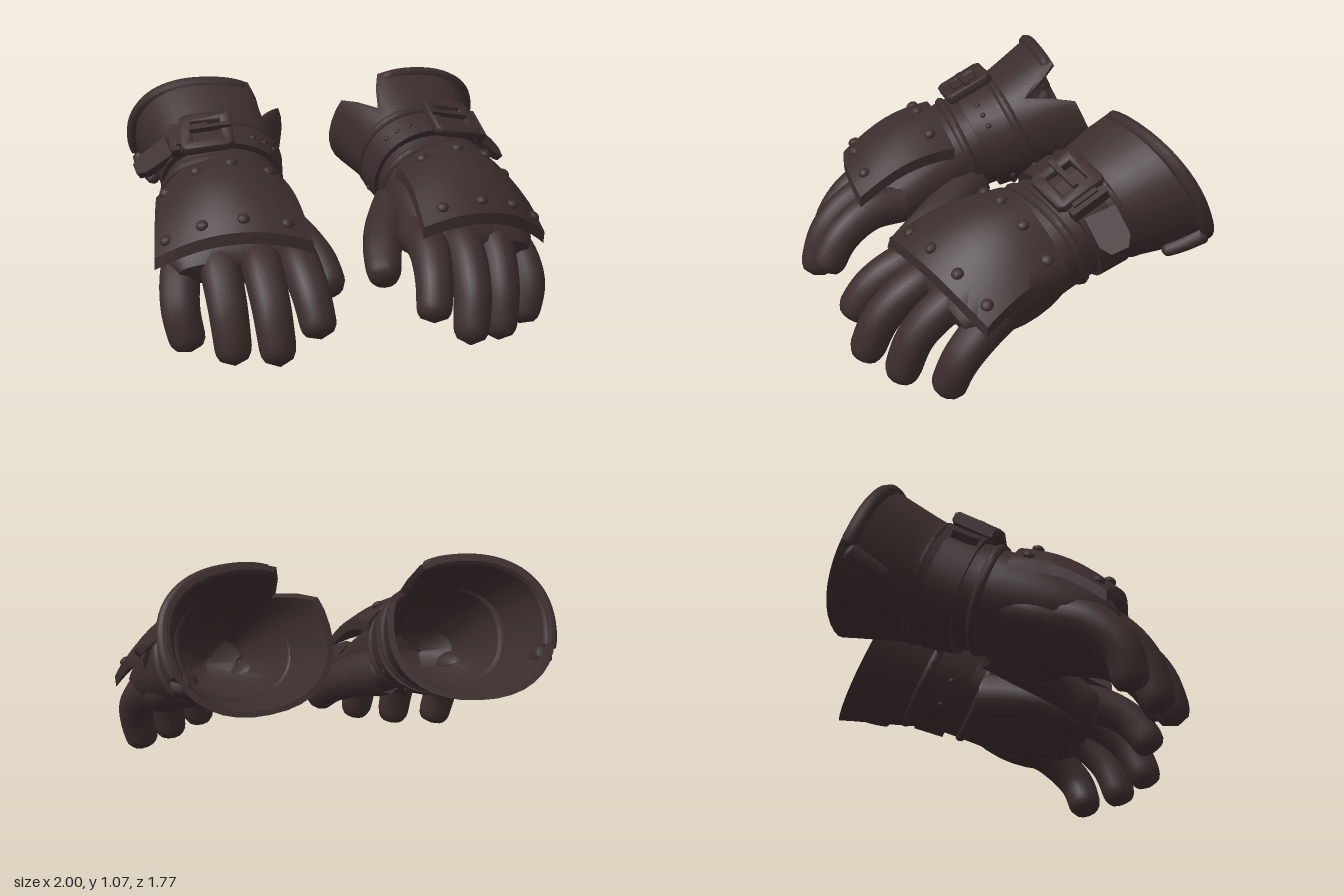
import * as THREE from 'three';
import { mergeVertices, toCreasedNormals } from 'three/addons/utils/BufferGeometryUtils.js';

const leather = new THREE.MeshStandardMaterial({ color: 0x3c2d2d, side: THREE.DoubleSide });
leather.name = 'dark brown leather';

const V = (p) => new THREE.Vector3(...p);
const lerp = THREE.MathUtils.lerp;
const rad = THREE.MathUtils.degToRad;

// Point on a pitched, slightly squared ring: [x, y, z, halfWidth, halfHeight, pitch, notch].
// The notch pulls the ring forward in a narrow V on the thumb side.
function ringPoint([x, y, z, w, h, pitch, notch = 0], a) {
  const sq = (t) => Math.sign(t) * Math.abs(t) ** 0.88;
  const v = h * sq(Math.sin(a)), p = rad(pitch);
  const cut = notch * Math.max(0, 1 - Math.abs(a - rad(40)) / rad(18));
  return [
    x + w * sq(Math.cos(a)) - cut * 0.2,
    y + v * Math.cos(p) - cut * Math.sin(p),
    z + v * Math.sin(p) + cut * Math.cos(p),
  ];
}

// Skin through rings, joined round and along
function loft(rings, n = 36) {
  const pos = [], idx = [];
  rings.forEach((r) => {
    for (let i = 0; i < n; i++) pos.push(...ringPoint(r, (i / n) * Math.PI * 2));
  });
  for (let j = 0; j < rings.length - 1; j++) {
    for (let i = 0; i < n; i++) {
      const a = j * n + i, b = j * n + ((i + 1) % n);
      idx.push(a, b, b + n, a, b + n, a + n);
    }
  }
  const g = new THREE.BufferGeometry();
  g.setAttribute('position', new THREE.Float32BufferAttribute(pos, 3));
  g.setIndex(idx);
  return g;
}

// Tapered tube with a blunt rounded tip (and optionally a rounded start)
function limb(points, r0, r1, { round = 0.16, start = 0, seg = 24, sides = 12 } = {}) {
  const curve = new THREE.CatmullRomCurve3(points.map(V));
  const g = new THREE.TubeGeometry(curve, seg, 1, sides, false);
  const p = g.attributes.position, v = new THREE.Vector3();
  const dome = (x) => Math.sqrt(Math.max(0.0004, 1 - x ** 3));
  for (let j = 0; j <= seg; j++) {
    const t = j / seg, c = curve.getPointAt(t);
    let r = lerp(r0, r1, t);
    if (t > 1 - round) r *= dome((t - 1 + round) / round);
    if (t < start) r *= dome((start - t) / start);
    for (let i = 0; i <= sides; i++) {
      const k = j * (sides + 1) + i;
      v.fromBufferAttribute(p, k).sub(c).multiplyScalar(r).add(c);
      p.setXYZ(k, v.x, v.y, v.z);
    }
  }
  return g;
}

// Curved back-of-hand plate: u across (-1 outer, 1 thumb side), s from wrist to knuckles, t thickness
function plate(u, t, s) {
  return [
    lerp(-0.56, -0.515, s) + u * lerp(0.3, 0.355, s),
    0.79 - 0.23 * s + 0.05 * Math.sin(Math.PI * s) - u * u * lerp(0.17, 0.1, s) + u * 0.04 + t,
    lerp(0.16, 0.62, s) - 0.06 * u * u + 0.04 * s * u,
  ];
}

const STRAP = [-0.54, 0.63, -0.15, 0.295, 0.265, 24];

// All parts of one glove as [name, geometry]
function gloveParts() {
  const parts = [];
  const add = (name, g) => parts.push([name, g]);

  // hollow cuff, wrist and hand in one skin
  add('cuffAndHand', loft([
    [-0.53, 0.52, 0.15, 0.01, 0.01, 22],
    [-0.53, 0.54, 0.1, 0.16, 0.1, 22],
    [-0.54, 0.62, -0.15, 0.24, 0.205, 25],
    [-0.58, 0.71, -0.4, 0.305, 0.27, 25, 0.05],
    [-0.6, 0.765, -0.575, 0.36, 0.315, 25, 0.2],
    [-0.6, 0.765, -0.575, 0.39, 0.34, 25, 0.2],
    [-0.59, 0.745, -0.5, 0.37, 0.325, 25, 0.14],
    [-0.57, 0.69, -0.34, 0.32, 0.285, 25, 0.03],
    [-0.54, 0.63, -0.15, 0.27, 0.24, 24],
    [-0.54, 0.58, 0, 0.285, 0.225, 22],
    [-0.53, 0.51, 0.18, 0.31, 0.205, 20],
    [-0.51, 0.44, 0.36, 0.325, 0.175, 20],
    [-0.49, 0.4, 0.5, 0.315, 0.125, 25],
    [-0.49, 0.38, 0.56, 0.27, 0.07, 25],
    [-0.49, 0.38, 0.57, 0.01, 0.01, 25],
  ]));

  // rolled hem over the back of the cuff, and the overlap at its outer end
  const hem = [];
  for (let d = 200; d >= 58; d -= 14) hem.push(ringPoint([-0.6, 0.755, -0.545, 0.375, 0.325, 25], rad(d)));
  add('cuffHem', limb(hem, 0.036, 0.03, { seg: 30, sides: 8, round: 0.05, start: 0.05 }));
  add('cuffOverlap', limb([[-0.87, 0.54, -0.42], [-0.91, 0.58, -0.5], [-0.95, 0.64, -0.6]], 0.03, 0.05,
    { start: 0.15, sides: 8 }));

  // folds of leather either side of the strap
  [[-0.55, 0.67, -0.27, 0.285, 0.255, 25], [-0.54, 0.58, 0, 0.278, 0.218, 22]].forEach((r) => {
    const loop = [];
    for (let d = 0; d < 360; d += 20) loop.push(V(ringPoint(r, rad(d))));
    add('wristFold', new THREE.TubeGeometry(new THREE.CatmullRomCurve3(loop, true), 40, 0.026, 8, true));
  });

  // strap
  add('strap', loft([
    [-0.54, 0.655, -0.22, 0.27, 0.24, 24],
    [-0.54, 0.655, -0.22, 0.305, 0.275, 24],
    [-0.54, 0.607, -0.075, 0.298, 0.263, 24],
    [-0.54, 0.607, -0.075, 0.26, 0.225, 24],
  ]));
  const tail = new THREE.BoxGeometry(0.2, 0.035, 0.15, 4, 1, 2);
  const tp = tail.attributes.position;
  for (let i = 0; i < tp.count; i++) if (tp.getX(i) < -0.09) tp.setZ(i, tp.getZ(i) * 0.55);
  tail.rotateX(0.42).rotateZ(0.6).translate(-0.87, 0.74, -0.1);
  add('strapTail', tail);
  [62, 48, 34, 300, 330].forEach((d) => {
    add('strapStud', new THREE.SphereGeometry(0.016, 10, 6).translate(...ringPoint(STRAP, rad(d))));
  });

  // buckle: square frame, prong and keeper loop
  const frame = new THREE.Shape();
  frame.moveTo(-0.1, -0.12).lineTo(0.1, -0.12).lineTo(0.12, -0.1).lineTo(0.12, 0.1)
    .lineTo(0.1, 0.12).lineTo(-0.1, 0.12).lineTo(-0.12, 0.1).lineTo(-0.12, -0.1);
  const hole = new THREE.Path();
  hole.moveTo(-0.075, -0.075).lineTo(-0.075, 0.075).lineTo(0.075, 0.075).lineTo(0.075, -0.075);
  frame.holes.push(hole);
  const seat = (g) => g.rotateX(rad(-63)).rotateZ(0.12).translate(-0.61, 0.87, -0.05);
  add('buckleFrame', seat(new THREE.ExtrudeGeometry(frame,
    { depth: 0.035, bevelSize: 0.006, bevelThickness: 0.006, bevelSegments: 1 })));
  add('bucklePlate', seat(new THREE.BoxGeometry(0.16, 0.13, 0.03).translate(-0.07, 0, 0.01)));
  add('buckleProng', seat(new THREE.BoxGeometry(0.2, 0.025, 0.025).translate(0.02, 0, 0.045)));
  add('strapKeeper', seat(new THREE.BoxGeometry(0.045, 0.19, 0.05).translate(-0.155, 0, -0.01)));

  // riveted plate
  const pg = new THREE.BoxGeometry(2, 0.055, 1, 14, 1, 8);
  const pp = pg.attributes.position;
  for (let i = 0; i < pp.count; i++) pp.setXYZ(i, ...plate(pp.getX(i), pp.getY(i), pp.getZ(i) + 0.5));
  add('handPlate', pg);
  for (const s of [0.17, 0.88]) {
    for (const u of [-0.85, -0.38, 0.15, 0.72]) {
      const rivet = new THREE.SphereGeometry(0.03, 10, 6).scale(1, 0.65, 1);
      add('rivet', rivet.rotateX(0.4).rotateZ(-u * 0.5).translate(...plate(u, 0.028, s)));
    }
  }

  // fingers from little to index
  [
    [[-0.72, 0.41, 0.3], [-0.755, 0.35, 0.45], [-0.76, 0.22, 0.58], [-0.72, 0.03, 0.62]],
    [[-0.57, 0.43, 0.36], [-0.575, 0.4, 0.53], [-0.55, 0.25, 0.68], [-0.525, 0.01, 0.75]],
    [[-0.4, 0.43, 0.38], [-0.39, 0.41, 0.57], [-0.36, 0.27, 0.74], [-0.33, 0.03, 0.83]],
    [[-0.25, 0.43, 0.38], [-0.22, 0.41, 0.55], [-0.18, 0.31, 0.7], [-0.145, 0.14, 0.8]],
  ].forEach((path) => add('finger', limb(path, 0.1, 0.082)));

  // thumb and the pads of the palm
  add('thumb', limb([[-0.33, 0.46, 0], [-0.22, 0.41, 0.13], [-0.12, 0.34, 0.29], [-0.055, 0.22, 0.47]], 0.12, 0.078));
  add('thumbPad', new THREE.SphereGeometry(1, 18, 12).scale(0.13, 0.1, 0.22).rotateX(0.35).translate(-0.33, 0.4, 0.15));
  add('palmPad', new THREE.SphereGeometry(1, 18, 12).scale(0.12, 0.1, 0.26).rotateX(0.35).translate(-0.7, 0.4, 0.22));
  return parts;
}

// Bake placement into a glove; a mirrored one has its corners reordered
function buildGlove(name, matrix) {
  const group = new THREE.Group();
  group.name = name;
  for (const [part, source] of gloveParts()) {
    let g = source;
    g.deleteAttribute('uv');
    g.deleteAttribute('normal');
    g.clearGroups();
    g = mergeVertices(g, 1e-5);
    g.applyMatrix4(matrix);
    if (matrix.determinant() < 0) {
      const ix = g.index.array;
      for (let i = 0; i < ix.length; i += 3) [ix[i], ix[i + 1]] = [ix[i + 1], ix[i]];
    }
    const mesh = new THREE.Mesh(toCreasedNormals(g, 0.8), leather);
    mesh.name = part;
    group.add(mesh);
  }
  return group;
}

export function createModel() {
  const model = new THREE.Group();
  model.name = 'pairOfGloves';
  model.add(buildGlove('rightGlove', new THREE.Matrix4()));

  // left glove: mirrored, turned outward and rolled toward the little finger
  const m = new THREE.Matrix4().makeScale(-1, 1, 1)
    .multiply(new THREE.Matrix4().makeTranslation(-0.55, 0.6, -0.14))
    .multiply(new THREE.Matrix4().makeRotationY(rad(-18)))
    .multiply(new THREE.Matrix4().makeRotationZ(rad(5)))
    .multiply(new THREE.Matrix4().makeTranslation(0.56, -0.6, 0));
  model.add(buildGlove('leftGlove', m));
  return model;
}
